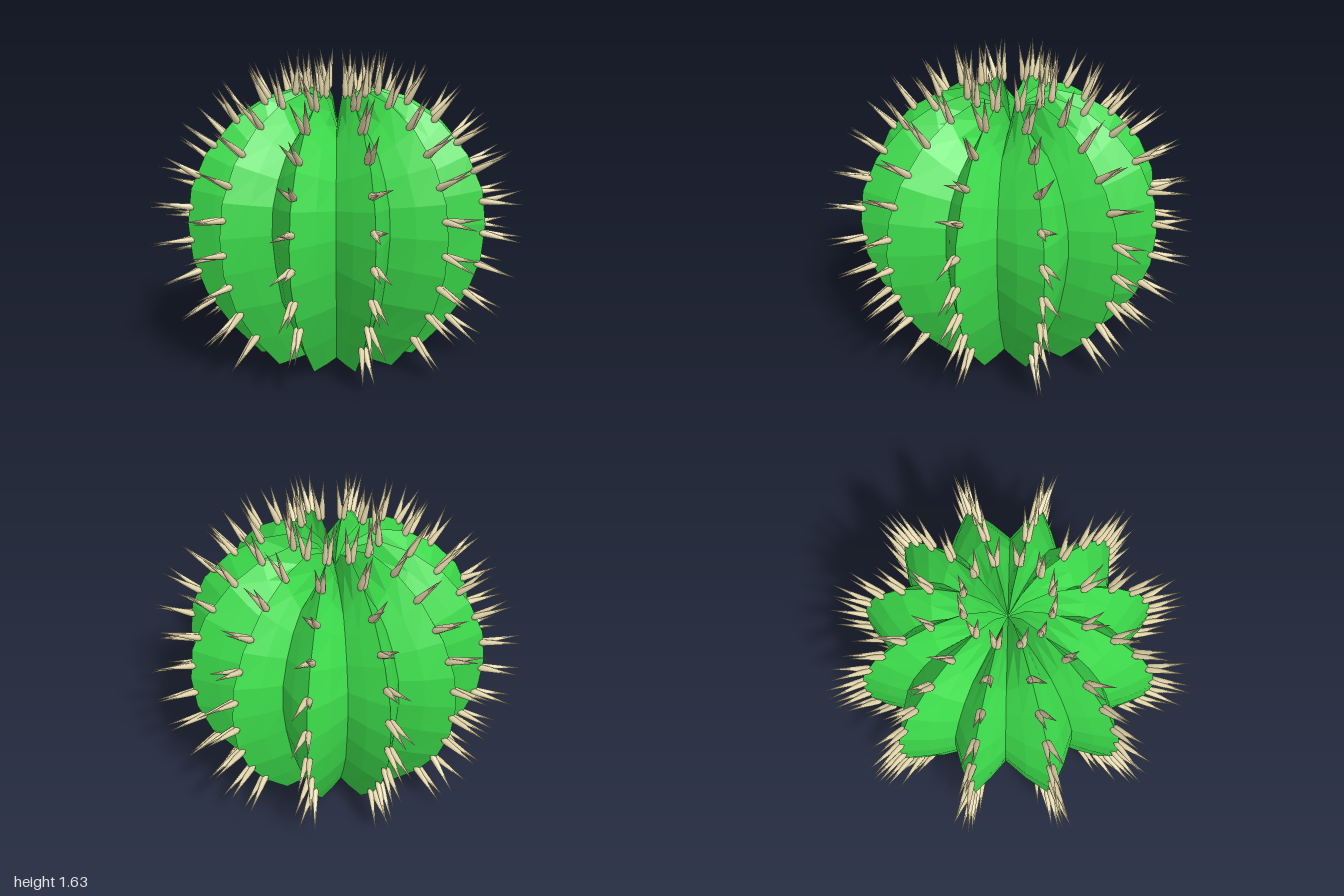
import * as THREE from 'three';
import { mergeGeometries } from 'three/addons/utils/BufferGeometryUtils.js';

const RIBS = 12;
// [radius, height] from the base up to the sunken crown
const RIDGE = [[0.42, 0.03], [0.58, 0.2], [0.71, 0.39], [0.78, 0.58], [0.8, 0.77], [0.78, 0.95],
  [0.7, 1.13], [0.56, 1.29], [0.39, 1.4], [0.22, 1.45], [0.09, 1.4], [0, 1.28]];
const VALLEY = [[0.3, 0.07], [0.41, 0.23], [0.52, 0.42], [0.575, 0.62], [0.6, 0.78], [0.59, 0.92],
  [0.54, 1.05], [0.47, 1.16], [0.38, 1.24], [0.19, 1.27], [0.08, 1.28], [0, 1.28]];
// Azimuth of ridge, valley, ridge... in one quarter, in degrees
const QUARTER = [0, 15.9, 29.5, 42, 59, 77, 90];
// Distance along each ridge from the base to its first and last spines
const FIRST_SPINE = [0.39, 0.23, 0.25, 0.3, 0.24, 0.27, 0.36, 0.24, 0.26, 0.3, 0.24, 0.25];
const LAST_SPINE = 1.83;

let seed = 7;
function random() {
  seed = (seed * 16807) % 2147483647;
  return seed / 2147483647;
}
const jitter = (amount) => (random() * 2 - 1) * amount;

// Step is 0..24 around the body (even = ridge, odd = valley), mirrored by quarters
function azimuth(step) {
  if (step >= 12) return Math.PI + azimuth(step - 12);
  if (step > 6) return Math.PI - azimuth(12 - step);
  const i = Math.min(Math.floor(step), 5);
  return THREE.MathUtils.degToRad(THREE.MathUtils.lerp(QUARTER[i], QUARTER[i + 1], step - i));
}

// Ribbed skin: each rib is ridge, flank, valley, flank
function bodyGeometry() {
  const positions = [], index = [], around = RIBS * 4;
  RIDGE.forEach(([ridgeR, ridgeY], row) => {
    const [valleyR, valleyY] = VALLEY[row];
    for (let j = 0; j < around; j++) {
      const mix = [1, 0.45, 0, 0.45][j % 4];
      const r = THREE.MathUtils.lerp(valleyR, ridgeR, mix);
      const a = azimuth(j / 2);
      positions.push(r * Math.sin(a), THREE.MathUtils.lerp(valleyY, ridgeY, mix), r * Math.cos(a));
    }
  });
  const bottom = positions.length / 3;
  positions.push(0, 0.055, 0);
  for (let j = 0; j < around; j++) {
    const k = (j + 1) % around;
    for (let row = 0; row < RIDGE.length - 1; row++) {
      const a = row * around + j, b = row * around + k;
      index.push(a, b, b + around);
      if (row < RIDGE.length - 2) index.push(a, b + around, a + around);
    }
    index.push(bottom, k, j);
  }
  const geometry = new THREE.BufferGeometry();
  geometry.setAttribute('position', new THREE.Float32BufferAttribute(positions, 3));
  geometry.setIndex(index);
  const flat = geometry.toNonIndexed();
  flat.computeVertexNormals();
  return flat;
}

// Pairs of spines spaced evenly along one ridge, pointing away from it
function spineRow(spine, ridge, first, angle) {
  const parts = [], up = new THREE.Vector3(0, 1, 0);
  const length = ridge.getLength();
  const gaps = Math.round((LAST_SPINE - first) / 0.175);
  for (let i = 0; i <= gaps; i++) {
    const u = THREE.MathUtils.lerp(first, LAST_SPINE, i / gaps) / length;
    const p = ridge.getPointAt(u), t = ridge.getTangentAt(u);
    const slope = Math.min(Math.atan2(-t.x, t.y), 1.5);
    for (const side of [-1, 1]) {
      const tilt = slope + side * 0.06 + jitter(0.13);
      const dir = new THREE.Vector3(side * 0.08 + jitter(0.12), Math.sin(tilt), Math.cos(tilt)).normalize();
      const matrix = new THREE.Matrix4().compose(
        new THREE.Vector3(side * 0.008, p.y, p.x).addScaledVector(dir, -0.02),
        new THREE.Quaternion().setFromUnitVectors(up, dir),
        new THREE.Vector3(1, 1 + jitter(0.04), 1));
      parts.push(spine.clone().applyMatrix4(matrix));
    }
  }
  return mergeGeometries(parts).rotateY(angle);
}

export function createModel() {
  const group = new THREE.Group();
  group.name = 'barrelCactus';

  const body = new THREE.Mesh(bodyGeometry(),
    new THREE.MeshStandardMaterial({ color: 0x3cdc4b, flatShading: true }));
  body.name = 'ribbedBody';
  group.add(body);

  // Tapered spine with a blunt root
  const profile = [[0, -0.012], [0.013, -0.004], [0.019, 0.012], [0.016, 0.05], [0, 0.22]];
  const spine = new THREE.LatheGeometry(profile.map(([x, y]) => new THREE.Vector2(x, y)), 6);
  const spineMaterial = new THREE.MeshStandardMaterial({ color: 0xe3d6aa });
  const ridge = new THREE.CatmullRomCurve3(RIDGE.map(([r, y]) => new THREE.Vector3(r, y, 0)));

  const spines = new THREE.Group();
  spines.name = 'spines';
  FIRST_SPINE.forEach((first, i) => {
    const row = new THREE.Mesh(spineRow(spine, ridge, first, azimuth(i * 2)), spineMaterial);
    row.name = 'spineRow';
    spines.add(row);
  });
  group.add(spines);
  return group;
}
